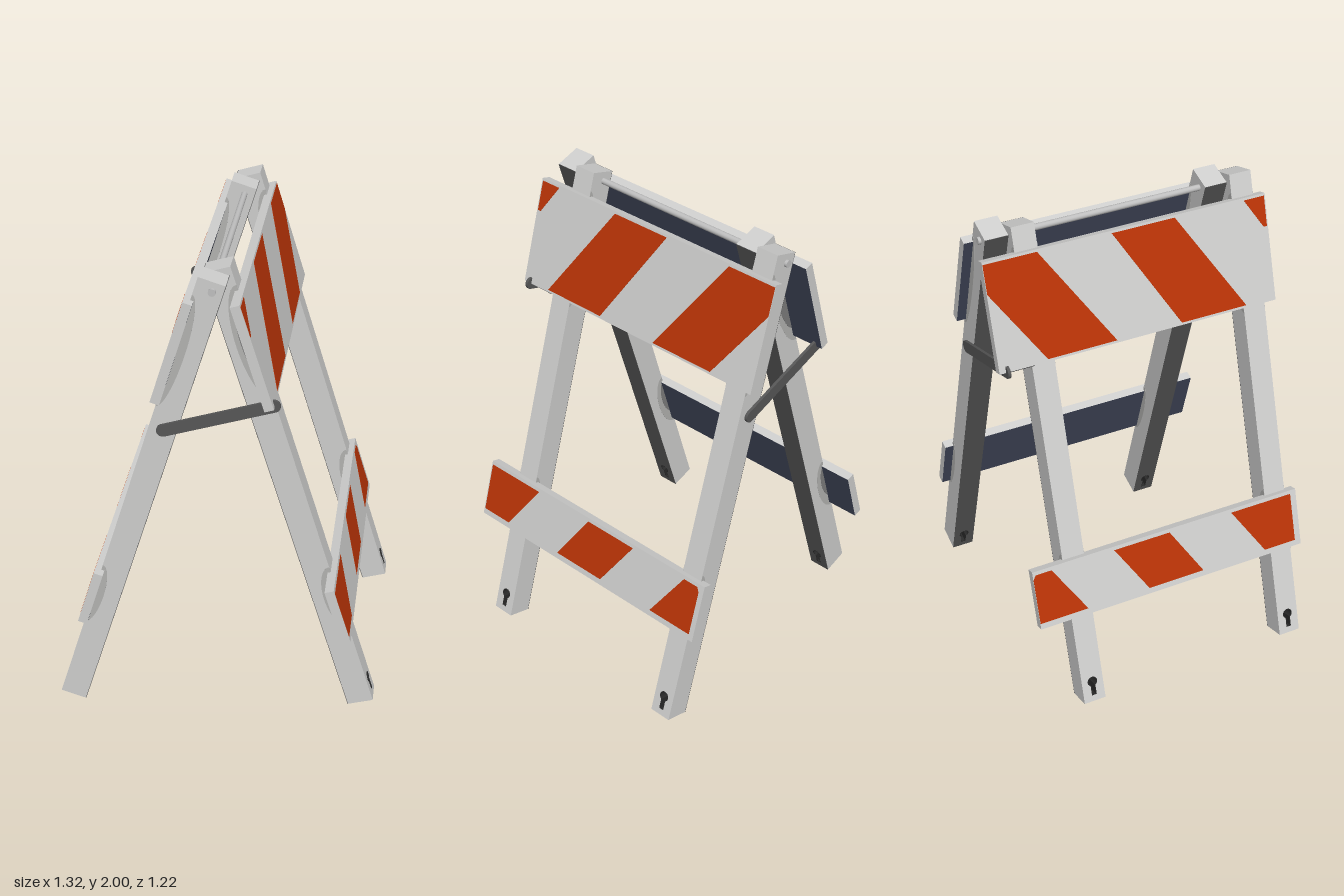
import * as THREE from 'three';

const mat = (name, color) => {
  const m = new THREE.MeshStandardMaterial({ color });
  m.name = name;
  return m;
};

export function createModel() {
  const white = mat('off white', 0xcfcfce);
  const orange = mat('safety orange', 0xbb3406);
  const backing = mat('dark slate backing', 0x41475b);
  const steel = mat('dark steel', 0x575757);
  const rodGrey = mat('rod grey', 0xc0c0c0);
  const black = mat('slot black', 0x2a2a2a);
  const wornGrey = mat('worn grey', 0xb3b3b1);
  const grime = mat('grime grey', 0x7c7c7c);

  const TILT = 0.2985; // lean of each frame
  const LEG_LEN = 2.056, LEG_W = 0.11, LEG_D = 0.096, SKIN = 0.002;
  const PANEL_IN = 0.042, PANEL_OUT = 0.08;

  const add = (parent, name, geo, material) => {
    const mesh = new THREE.Mesh(geo, material);
    mesh.name = name;
    parent.add(mesh);
    return mesh;
  };

  // Shape drawn across (-z) and up (y), extruded along x
  const extrudeX = (shape, depth) =>
    new THREE.ExtrudeGeometry(shape, { depth, bevelEnabled: false, curveSegments: 8 }).rotateY(Math.PI / 2);

  const polygon = (points) => new THREE.Shape(points.map(([a, b]) => new THREE.Vector2(a, b)));

  // Keyhole outline near the foot, optionally enlarged
  const keyhole = (PathType, grow) => {
    const w = 0.008 + grow, r = 0.019 + grow;
    const a = Math.acos(w / r);
    const path = new PathType();
    path.moveTo(-w, 0.03 - grow);
    path.lineTo(w, 0.03 - grow);
    path.absarc(0, 0.09, r, -a, Math.PI + a, false);
    path.closePath();
    return path;
  };

  const legShape = () => {
    const h = LEG_D / 2;
    const shape = polygon([[-h, 0], [h, 0], [h, LEG_LEN], [-h, LEG_LEN]]);
    shape.holes.push(keyhole(THREE.Path, 0.003));
    return shape;
  };

  // Worn patch beside a board: half an ellipse against the leg's outer edge
  const patch = (parent, name, face, v, ru, rv, thick, material) => {
    const shape = new THREE.Shape();
    shape.absellipse(LEG_W / 2 - 0.0005, v, ru, rv, Math.PI / 2, Math.PI * 1.5, false, 0);
    shape.closePath();
    const geo = new THREE.ExtrudeGeometry(shape, { depth: thick * 2, bevelEnabled: false, curveSegments: 12 });
    add(parent, name, geo, material).position.z = face * LEG_D / 2 - thick;
  };

  // Leg with dark inner face, lined keyhole slot and worn patches
  const makeLeg = () => {
    const leg = new THREE.Group();
    leg.name = 'leg';
    add(leg, 'legBeam', extrudeX(legShape(), LEG_W - SKIN), white).position.x = SKIN - LEG_W / 2;
    add(leg, 'legInnerFace', extrudeX(legShape(), SKIN), steel).position.x = -LEG_W / 2;
    const lining = keyhole(THREE.Shape, 0.003);
    lining.holes.push(keyhole(THREE.Path, 0));
    add(leg, 'slotLining', extrudeX(lining, LEG_W), black).position.x = -LEG_W / 2;

    patch(leg, 'wornPatch', -1, 0.54, 0.042, 0.15, 0.001, wornGrey);
    patch(leg, 'wornPatch', -1, 1.73, 0.045, 0.25, 0.001, wornGrey);
    patch(leg, 'wornPatch', 1, 0.54, 0.062, 0.15, 0.001, wornGrey);
    patch(leg, 'wornPatch', 1, 1.73, 0.075, 0.25, 0.001, wornGrey);
    patch(leg, 'grimePatch', 1, 0.56, 0.036, 0.1, 0.002, grime);
    patch(leg, 'grimePatch', 1, 1.74, 0.055, 0.19, 0.002, grime);
    return leg;
  };

  // Stripes as [z, height] corners on each board
  const boards = [
    {
      name: 'upperBoard', v0: 1.51, v1: 1.957, shift: 0,
      stripes: [
        [[0.605, 1.947], [0.513, 1.947], [0.59, 1.822], [0.605, 1.822]],
        [[0.204, 1.947], [-0.07, 1.947], [0.18, 1.52], [0.474, 1.52]],
        [[-0.385, 1.947], [-0.608, 1.947], [-0.608, 1.83], [-0.405, 1.52], [-0.107, 1.52]],
      ],
    },
    {
      name: 'lowerBoard', v0: 0.41, v1: 0.666, shift: 0.022,
      stripes: [
        [[0.605, 0.65], [0.32, 0.65], [0.457, 0.435], [0.605, 0.435]],
        [[0.029, 0.65], [-0.225, 0.65], [-0.093, 0.435], [0.16, 0.435]],
        [[-0.505, 0.65], [-0.575, 0.65], [-0.587, 0.63], [-0.587, 0.435], [-0.373, 0.435]],
      ],
    },
  ];

  // One half of the barricade; zSign keeps stripes matching on both sides
  const makeHalf = (name, zSign) => {
    const half = new THREE.Group();
    half.name = name;

    const frame = new THREE.Group();
    frame.name = 'leaningFrame';
    frame.position.set(0.605, 0.018, 0);
    frame.rotation.z = TILT;
    half.add(frame);

    for (const z of [0.4175, -0.5225]) {
      const leg = makeLeg();
      leg.position.z = z;
      frame.add(leg);
    }

    for (const { name: boardName, v0, v1, shift, stripes } of boards) {
      const geo = new THREE.BoxGeometry(PANEL_OUT - PANEL_IN, v1 - v0, 1.22);
      const board = add(frame, boardName, geo, [white, backing, white, white, white, white]);
      board.position.set((PANEL_IN + PANEL_OUT) / 2, (v0 + v1) / 2, 0);
      const slide = zSign < 0 ? shift : 0;
      for (const pts of stripes) {
        const shape = polygon(pts.map(([z, v]) => [-(z - slide) * zSign, v]));
        add(frame, boardName + 'Stripe', extrudeX(shape, 0.001), orange).position.x = PANEL_OUT;
      }
    }

    // Flat spreader bar with rounded ends
    const from = new THREE.Vector2(-0.195, 1.347), to = new THREE.Vector2(0.235, 1.485);
    const len = from.distanceTo(to), r = 0.025;
    const barShape = new THREE.Shape();
    barShape.absarc(0, 0, r, Math.PI / 2, Math.PI * 1.5, false);
    barShape.absarc(len, 0, r, -Math.PI / 2, Math.PI / 2, false);
    barShape.closePath();
    const bar = add(half, 'spreaderBar',
      new THREE.ExtrudeGeometry(barShape, { depth: 0.012, bevelEnabled: false, curveSegments: 8 }), steel);
    bar.position.set(from.x, from.y, 0.571);
    bar.rotation.z = to.clone().sub(from).angle();

    // Pin holding the bar against the board
    const pin = add(half, 'spreaderPin', new THREE.CylinderGeometry(0.009, 0.009, 0.12, 10).rotateX(Math.PI / 2), steel);
    pin.position.set(0.225, 1.484, 0.52);
    return half;
  };

  const model = new THREE.Group();
  model.name = 'foldingBarricade';
  model.add(makeHalf('leftHalf', 1));
  const other = makeHalf('rightHalf', -1);
  other.rotation.y = Math.PI;
  model.add(other);

  // Hinge rod through the leg tops, with end caps
  const rod = add(model, 'hingeRod', new THREE.CylinderGeometry(0.013, 0.013, 1.14, 12).rotateX(Math.PI / 2), rodGrey);
  rod.position.y = 1.943;
  for (const s of [-1, 1]) {
    const cap = add(model, 'hingeCap', new THREE.CylinderGeometry(0.015, 0.015, 0.012, 12).rotateX(Math.PI / 2), rodGrey);
    cap.position.set(0, 1.943, s * 0.576);
  }
  return model;
}
